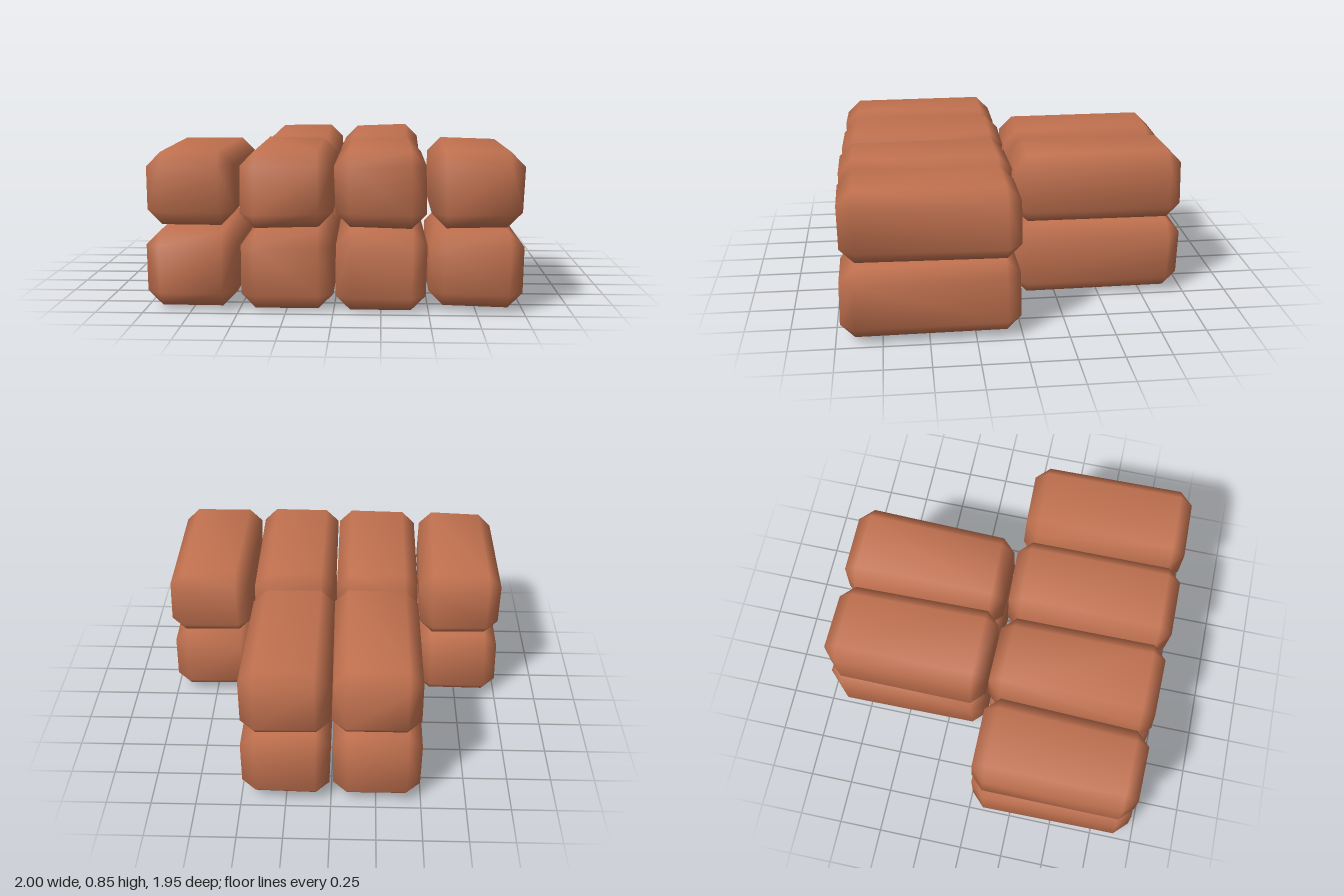
import * as THREE from 'three';
import { mergeVertices } from 'three/addons/utils/BufferGeometryUtils.js';
import { ConvexGeometry } from 'three/addons/geometries/ConvexGeometry.js';

const CHAMFER = 0.078;

// Small seeded generator for hand-made unevenness
function makeRandom(seed) {
  return () => {
    seed = (seed * 16807) % 2147483647;
    return seed / 2147483647;
  };
}

// Chamfered block: every slightly displaced corner is cut into three points,
// then normals are smoothed across the chamfers.
function brickGeometry({ x, y, z, slant = [0, 0] }, random) {
  const points = [];
  for (const i of [0, 1]) for (const j of [0, 1]) for (const k of [0, 1]) {
    const s = [i ? -1 : 1, j ? -1 : 1, k ? -1 : 1]; // inward direction
    const corner = [x[i] + (k ? slant[i] : 0), y[j], z[k]]
      .map((v, a) => v + s[a] * random() * 0.014);
    for (let a = 0; a < 3; a++) {
      points.push(new THREE.Vector3(
        ...corner.map((v, b) => (b === a ? v : v + s[b] * CHAMFER))));
    }
  }
  const hull = new ConvexGeometry(points);
  hull.deleteAttribute('normal');
  const geometry = mergeVertices(hull, 1e-4);
  geometry.computeVertexNormals();
  return geometry;
}

export function createModel() {
  const model = new THREE.Group();
  model.name = 'brickStack';
  const clay = new THREE.MeshStandardMaterial({ color: 0xc1714f });
  clay.name = 'terracotta';
  const random = makeRandom(4711);

  // Extents of each brick; slant shifts the left and right sides at the front end
  const layers = {
    lower: [
      { x: [-1.0, -0.505], y: [0.01, 0.435], z: [0.0, 0.97] },
      { x: [-0.5, 0.0], y: [0.0, 0.437], z: [0.0, 0.975] },
      { x: [0.0, 0.5], y: [0.005, 0.437], z: [0.0, 0.975] },
      { x: [0.5, 1.0], y: [0.02, 0.437], z: [0.0, 0.975] },
      { x: [-0.5, 0.0], y: [0.01, 0.437], z: [-0.98, -0.01] },
      { x: [0.0, 0.5], y: [0.01, 0.437], z: [-0.98, -0.01] },
    ],
    upper: [
      { x: [-0.99, -0.5], y: [0.445, 0.855], z: [0.005, 0.955], slant: [0, -0.015] },
      { x: [-0.5, 0.0], y: [0.438, 0.855], z: [0.0, 0.97] },
      { x: [0.0, 0.495], y: [0.438, 0.855], z: [0.0, 0.975] },
      { x: [0.51, 1.0], y: [0.445, 0.855], z: [0.0, 0.97], slant: [-0.01, 0] },
      { x: [-0.5, 0.0], y: [0.438, 0.855], z: [-0.965, -0.01], slant: [0.005, 0] },
      { x: [0.0, 0.5], y: [0.438, 0.855], z: [-0.98, -0.01], slant: [0, -0.015] },
    ],
  };

  for (const [layerName, bricks] of Object.entries(layers)) {
    const layer = new THREE.Group();
    layer.name = `${layerName}Layer`;
    bricks.forEach((brick, i) => {
      const mesh = new THREE.Mesh(brickGeometry(brick, random), clay);
      mesh.name = i < 4 ? `frontBrick${i + 1}` : `backBrick${i - 3}`;
      layer.add(mesh);
    });
    model.add(layer);
  }
  return model;
}
